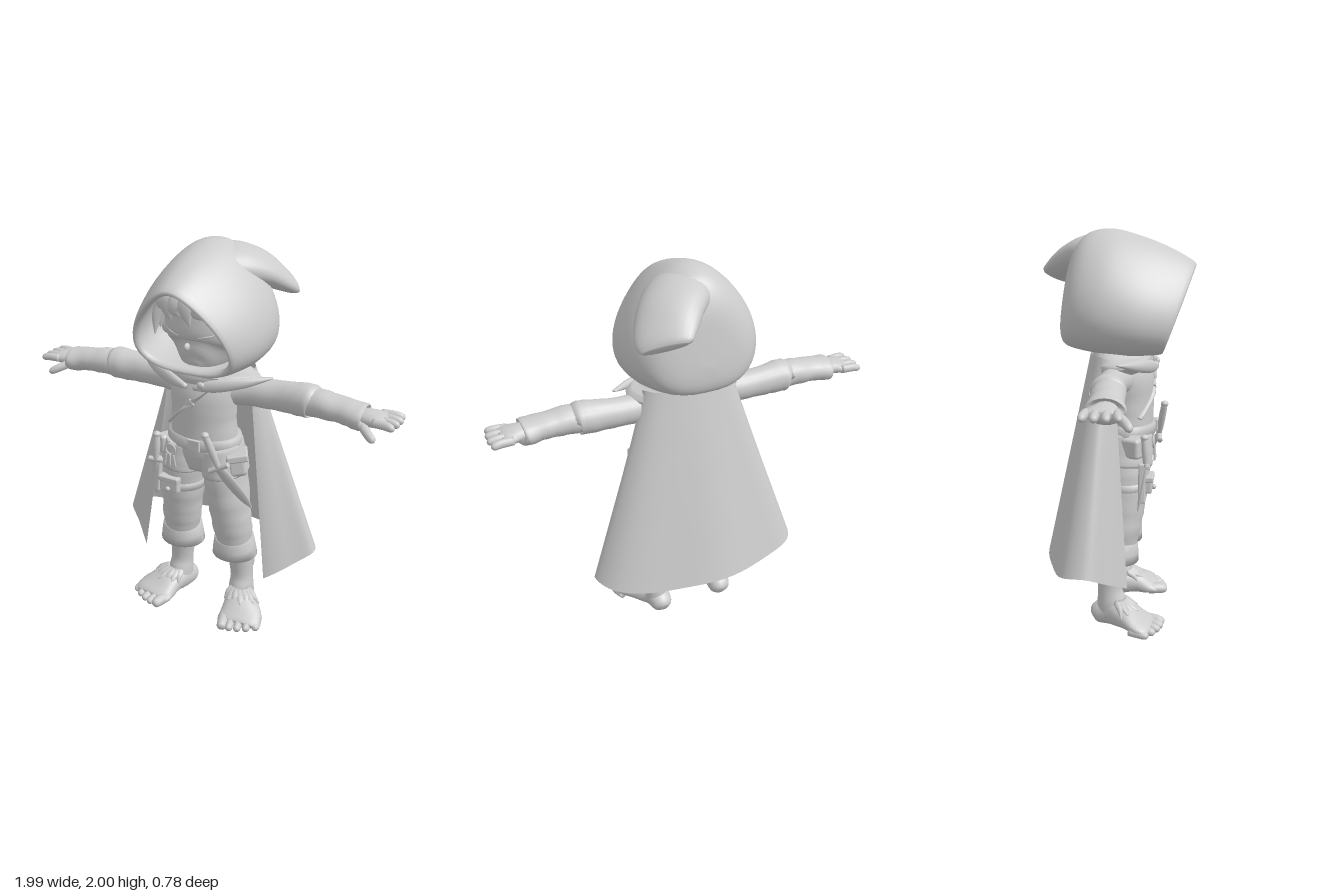
import * as THREE from 'three';
import { RoundedBoxGeometry } from 'three/addons/geometries/RoundedBoxGeometry.js';

const clay = new THREE.MeshStandardMaterial({ color: 0xcccccc, side: THREE.DoubleSide });
clay.name = 'light grey clay';
const V = (x, y, z) => new THREE.Vector3(x, y, z);
const X = V(1, 0, 0), Y = V(0, 1, 0);

// Smooth rows of numbers: every column follows its own spline
function resample(keys, sub) {
  const n = (keys.length - 1) * sub;
  const cols = keys[0].map((_, c) => new THREE.SplineCurve(keys.map((k, i) => new THREE.Vector2(i, k[c]))));
  return Array.from({ length: n + 1 }, (_, i) => cols.map(c => c.getPoint(i / n).y));
}

// Skin over rings of points, optionally closed around and capped
function skin(rings, closed = true, caps = true) {
  const n = rings[0].length, pos = [], idx = [];
  rings.forEach(r => r.forEach(p => pos.push(p.x, p.y, p.z)));
  for (let i = 0; i < rings.length - 1; i++) {
    for (let j = 0; j < (closed ? n : n - 1); j++) {
      const k = (j + 1) % n, a = i * n + j, b = i * n + k;
      idx.push(a, b, b + n, a, b + n, a + n);
    }
  }
  if (caps) {
    for (const end of [0, rings.length - 1]) {
      const c = rings[end].reduce((s, p) => s.add(p), V(0, 0, 0)).divideScalar(n), m = pos.length / 3;
      pos.push(c.x, c.y, c.z);
      for (let j = 0; j < n; j++) {
        const a = end * n + j, b = end * n + (j + 1) % n;
        if (end) idx.push(a, b, m); else idx.push(b, a, m);
      }
    }
  }
  const g = new THREE.BufferGeometry();
  g.setAttribute('position', new THREE.Float32BufferAttribute(pos, 3));
  g.setIndex(idx);
  g.computeVertexNormals();
  return g;
}

// Elliptical sweep; keys are [x, y, z, radius along ref, radius across ref]
function sweep(keys, ref = X, { sub = 4, n = 20, wrinkle = 0 } = {}) {
  const rows = resample(keys, sub);
  const at = i => V(...rows[Math.min(Math.max(i, 0), rows.length - 1)].slice(0, 3));
  return skin(rows.map((r, i) => {
    const T = at(i + 1).sub(at(i - 1)).normalize();
    const u = ref.clone().addScaledVector(T, -ref.dot(T)).normalize();
    const v = T.clone().cross(u);
    return Array.from({ length: n }, (_, j) => {
      const t = j / n * Math.PI * 2;
      const w = 1 + wrinkle * Math.sin(i * 1.7 + 2 * Math.sin(t + i * 0.4));
      const p = at(i).addScaledVector(u, Math.cos(t) * Math.max(r[3], 0.002) * w)
        .addScaledVector(v, Math.sin(t) * Math.max(r[4], 0.002) * w);
      p.y = Math.max(p.y, 0.003);
      return p;
    });
  }));
}

export function createModel() {
  const model = new THREE.Group();
  const add = (name, geo) => {
    const m = new THREE.Mesh(geo, clay);
    m.name = name;
    model.add(m);
    return m;
  };
  const blob = (name, p, r, seg = 16) =>
    add(name, new THREE.SphereGeometry(1, seg, 12).scale(...r).translate(...p));
  const box = (name, p, s, rot = [0, 0, 0]) => {
    const m = add(name, new RoundedBoxGeometry(...s, 2, Math.min(...s) * 0.25));
    m.position.set(...p);
    m.rotation.set(...rot);
  };

  // Hood: rings run from the deep lining to the rim, then over the outside to the back
  // [top y, bottom y, half width, top z, bottom z, taper towards the top]
  const hoodRing = ([yT, yB, w, zT, zB, taper]) => Array.from({ length: 48 }, (_, j) => {
    const t = j / 48 * Math.PI * 2, s = -Math.sin(t), c = Math.cos(t);
    const x = w * Math.sign(c) * Math.pow(Math.abs(c), s > 0 ? 0.95 : 0.75) * (1 - taper * s);
    return V(x, (yT + yB) / 2 + s * (yT - yB) / 2, (zT + zB) / 2 + s * (zT - zB) / 2);
  });
  const lining = [[1.87, 1.46, 0.25, -0.1, -0.12, 0.35], [1.89, 1.43, 0.268, 0.08, 0.04, 0.35],
    [1.85, 1.42, 0.245, 0.25, 0.14, 0.4], [1.815, 1.425, 0.22, 0.36, 0.215, 0.42]];
  const outside = [[1.84, 1.4, 0.24, 0.39, 0.235, 0.42], [1.91, 1.392, 0.278, 0.27, 0.165, 0.4],
    [1.965, 1.39, 0.308, 0.13, 0.06, 0.36], [2.0, 1.4, 0.313, -0.01, -0.06, 0.33],
    [1.985, 1.412, 0.289, -0.12, -0.145, 0.31], [1.93, 1.428, 0.247, -0.185, -0.215, 0.3],
    [1.84, 1.45, 0.19, -0.225, -0.252, 0.28], [1.72, 1.5, 0.11, -0.247, -0.268, 0.25],
    [1.61, 1.58, 0.015, -0.262, -0.267, 0]];
  add('hood', skin(resample([...lining, ...outside], 4).map(hoodRing)));
  add('hoodTip', sweep([[0.02, 1.865, 0.01, 0.14, 0.1], [0.085, 1.875, -0.09, 0.16, 0.1],
    [0.16, 1.848, -0.185, 0.155, 0.083], [0.215, 1.798, -0.265, 0.147, 0.06],
    [0.238, 1.765, -0.318, 0.13, 0.04], [0.245, 1.752, -0.338, 0.105, 0.02]], V(0.75, -0.14, 0.65), { n: 28 }));

  // Head and face
  add('head', sweep([[0, 1.415, 0.16, 0.03, 0.025], [0, 1.43, 0.13, 0.092, 0.085], [0, 1.48, 0.07, 0.158, 0.155],
    [0, 1.55, 0.045, 0.196, 0.188], [0, 1.64, 0.035, 0.208, 0.2], [0, 1.73, 0.02, 0.2, 0.2],
    [0, 1.82, 0, 0.15, 0.14], [0, 1.86, 0, 0.02, 0.02]], X, { n: 32 }));
  blob('nose', [0, 1.535, 0.228], [0.013, 0.02, 0.02]);
  blob('hairCap', [0, 1.71, 0.01], [0.218, 0.14, 0.205], 28);
  for (const s of [-1, 1]) {
    blob('ear', [s * 0.21, 1.575, 0.06], [0.025, 0.05, 0.035]);
    add('eyelid', sweep([[s * 0.055, 1.583, 0.221, 0.003, 0.003], [s * 0.1, 1.593, 0.206, 0.005, 0.005],
      [s * 0.15, 1.605, 0.17, 0.003, 0.003]], Y, { n: 8 }));
    for (let i = 0; i < 3; i++) {
      const z = 0.14 - i * 0.05;
      add('sideLock', sweep([[s * 0.18, 1.73, z, 0.03, 0.04], [s * 0.207, 1.64, z + 0.015, 0.022, 0.035],
        [s * 0.213, 1.55 + i * 0.02, z + 0.03, 0.002, 0.002]], X, { n: 10 }));
    }
  }
  // Fringe of pointed locks
  for (let i = -3; i <= 3; i++) {
    const a = i * 0.27, dx = Math.sin(a), dz = Math.cos(a), low = 1.65 + (i % 2 ? 0.03 : -0.01);
    add('fringeLock', sweep([[dx * 0.13, 1.81, dz * 0.12, 0.03, 0.02], [dx * 0.2, 1.765, dz * 0.2 + 0.01, 0.045, 0.028],
      [dx * 0.225, 1.71, dz * 0.215 + 0.022, 0.04, 0.022],
      [dx * 0.23 + 0.025, low, dz * 0.215 + 0.025, 0.002, 0.002]], X, { n: 10 }));
  }

  // Neck, mantle and torso
  add('neck', sweep([[0, 1.33, 0.04, 0.09, 0.09], [0, 1.46, 0.05, 0.08, 0.08]]));
  add('mantle', sweep([[0, 1.295, 0.05, 0.16, 0.12], [0, 1.315, 0.045, 0.23, 0.15], [0, 1.345, 0.035, 0.29, 0.155],
    [0, 1.375, 0.03, 0.28, 0.145], [0, 1.4, 0.03, 0.2, 0.135], [0, 1.43, 0.04, 0.13, 0.11]], X, { n: 36, wrinkle: 0.015 }));
  for (const s of [-1, 1]) {
    add('collarFold', sweep([[s * 0.36, 1.385, 0.04, 0.004, 0.01], [s * 0.25, 1.365, 0.12, 0.026, 0.02],
      [s * 0.12, 1.345, 0.185, 0.032, 0.018], [s * 0.02, 1.325, 0.205, 0.012, 0.012]], Y, { n: 12 }));
  }
  blob('collarClasp', [0.06, 1.345, 0.207], [0.022, 0.018, 0.012]);
  add('torso', sweep([[0, 0.86, 0.05, 0.15, 0.11], [0, 0.95, 0.055, 0.185, 0.13], [0, 1.05, 0.065, 0.178, 0.128],
    [0, 1.15, 0.065, 0.172, 0.128], [0, 1.25, 0.065, 0.175, 0.13], [0, 1.33, 0.05, 0.17, 0.12],
    [0, 1.37, 0.04, 0.12, 0.1]], X, { n: 28, wrinkle: 0.008 }));
  add('belt', sweep([[0, 0.99, 0.06, 0.18, 0.12], [0, 0.994, 0.06, 0.203, 0.145], [0, 1.046, 0.062, 0.198, 0.145],
    [0, 1.05, 0.062, 0.17, 0.12]], X, { sub: 1, n: 32 }));
  box('beltBuckle', [0.02, 1.02, 0.207], [0.065, 0.06, 0.015]);
  add('chestStrap', sweep([[0.11, 1.34, 0.17, 0.016, 0.007], [0.03, 1.265, 0.195, 0.016, 0.007],
    [-0.06, 1.19, 0.186, 0.016, 0.007], [-0.16, 1.09, 0.13, 0.016, 0.007]], V(1, 1, 0), { n: 10 }));
  box('strapBuckle', [-0.005, 1.235, 0.196], [0.038, 0.04, 0.016], [0, 0, 0.75]);

  // Belt gear
  box('rightPouch', [-0.2, 0.95, 0.1], [0.07, 0.1, 0.1], [0, -0.5, 0]);
  box('leftPouch', [0.2, 0.92, 0.09], [0.1, 0.12, 0.11], [0, 0.5, 0.15]);
  box('pouchFlap', [0.203, 0.965, 0.095], [0.11, 0.04, 0.12], [0, 0.5, 0.15]);
  const ring = add('keyRing', new THREE.TorusGeometry(0.028, 0.005, 8, 20));
  ring.position.set(-0.12, 0.965, 0.2);
  for (const i of [-1, 0, 1]) {
    add('key', sweep([[-0.12 + i * 0.02, 0.94, 0.207, 0.005, 0.005], [-0.12 + i * 0.032, 0.875, 0.208, 0.007, 0.005]], X, { n: 8 }));
  }
  // A dagger from pommel through guard to tip
  const dagger = (name, pommel, guard, tip, w) => {
    const P = V(...pommel), G = V(...guard), Q = V(...tip), d = Q.clone().sub(G);
    const side = V(1, 0.35, -0.2), k = (p, a, b) => [p.x, p.y, p.z, a, b];
    const on = f => G.clone().addScaledVector(d, f);
    add(name + 'Grip', sweep([k(P, 0.016, 0.016), k(P.clone().lerp(G, 0.5), 0.02, 0.018), k(G, 0.014, 0.014)], X, { n: 12 }));
    blob(name + 'Pommel', pommel, [0.02, 0.016, 0.02]);
    side.addScaledVector(d, -side.dot(d) / d.lengthSq()).normalize();
    add(name + 'Guard', sweep([-1, -0.5, 0.5, 1].map(f =>
      k(G.clone().addScaledVector(side, f * w * 1.8), 0.014, 0.014)), Y, { n: 10 }));
    add(name + 'Blade', sweep([k(G, w * 0.8, 0.01), k(on(0.35), w, 0.011), k(on(0.75), w * 0.8, 0.008), k(Q, 0.002, 0.002)], side, { n: 8 }));
  };
  dagger('leftDagger', [0.105, 1.11, 0.245], [0.165, 0.935, 0.215], [0.285, 0.675, 0.08], 0.032);
  dagger('rightDagger', [-0.225, 1.01, 0.16], [-0.228, 0.87, 0.17], [-0.255, 0.64, 0.13], 0.022);
  box('thighSheath', [-0.232, 0.78, 0.15], [0.04, 0.2, 0.036], [0, 0, -0.08]);
  box('thighPouch', [-0.14, 0.755, 0.175], [0.11, 0.085, 0.045]);
  box('thighPouchFlap', [-0.14, 0.785, 0.18], [0.118, 0.03, 0.05]);
  blob('pouchButton', [-0.14, 0.735, 0.205], [0.013, 0.013, 0.012]);
  add('thighStrap', sweep([[-0.13, 0.72, 0.05, 0.1, 0.1], [-0.13, 0.722, 0.05, 0.118, 0.128],
    [-0.127, 0.758, 0.05, 0.118, 0.13], [-0.127, 0.76, 0.05, 0.1, 0.1]], X, { sub: 1, n: 24 }));

  for (const s of [-1, 1]) {
    // Legs, with a split tunic skirt over the hips
    add('tunicSkirt', sweep([[s * 0.12, 0.842, 0.055, 0.118, 0.14],
      [s * 0.113, 0.9, 0.056, 0.113, 0.14], [s * 0.1, 1.0, 0.058, 0.1, 0.132]], X, { n: 24, wrinkle: 0.012 }));
    add('trouserLeg', sweep([[s * 0.1, 0.93, 0.05, 0.1, 0.12], [s * 0.115, 0.84, 0.05, 0.11, 0.126],
      [s * 0.13, 0.72, 0.05, 0.11, 0.12], [s * 0.145, 0.6, 0.045, 0.106, 0.108],
      [s * 0.155, 0.5, 0.035, 0.103, 0.1], [s * 0.16, 0.42, 0.025, 0.09, 0.09]], X, { n: 24, wrinkle: 0.022 }));
    add('trouserCuff', sweep([[s * 0.16, 0.352, 0.02, 0.085, 0.085], [s * 0.16, 0.35, 0.02, 0.122, 0.11],
      [s * 0.159, 0.4, 0.022, 0.115, 0.107], [s * 0.158, 0.45, 0.028, 0.106, 0.102],
      [s * 0.157, 0.46, 0.03, 0.09, 0.09]], X, { sub: 1, n: 24, wrinkle: 0.012 }));
    add('shin', sweep([[s * 0.17, 0.42, 0.005, 0.078, 0.075], [s * 0.18, 0.31, -0.012, 0.068, 0.07],
      [s * 0.187, 0.2, -0.014, 0.06, 0.062], [s * 0.19, 0.13, -0.005, 0.066, 0.075], [s * 0.19, 0.06, 0, 0.065, 0.08]]));
    add('foot', sweep([[s * 0.172, 0.045, -0.105, 0.02, 0.025], [s * 0.175, 0.055, -0.08, 0.055, 0.054],
      [s * 0.19, 0.075, 0, 0.07, 0.075], [s * 0.225, 0.072, 0.07, 0.09, 0.068], [s * 0.258, 0.048, 0.14, 0.115, 0.046],
      [s * 0.272, 0.034, 0.19, 0.112, 0.031], [s * 0.275, 0.03, 0.205, 0.085, 0.02]]));
    for (let i = 0; i < 5; i++) {
      const r = i ? 0.022 : 0.029, x = 0.2 + i * 0.041, z = 0.24 - i * i * 0.0045;
      add('toe', sweep([[s * (x - 0.02), 0.035, z - 0.07, r, r], [s * x, 0.031, z - 0.01, r, r],
        [s * (x + 0.006), 0.026, z + 0.02, r * 0.75, r * 0.75], [s * (x + 0.008), 0.024, z + 0.028, 0.003, 0.003]], X, { n: 10 }));
    }
    // Fur on the feet and ankles
    for (let i = 0; i < 7; i++) {
      const a = -0.9 + i * 0.4, dx = Math.sin(a), dz = Math.cos(a);
      add('footFur', sweep([[s * (0.2 + dx * 0.04), 0.135, 0.03 + dz * 0.03, 0.026, 0.02],
        [s * (0.215 + dx * 0.07), 0.118, 0.045 + dz * 0.058, 0.024, 0.016],
        [s * (0.225 + dx * 0.105), 0.09 + (i % 2) * 0.018, 0.05 + dz * 0.092, 0.002, 0.002]], X, { n: 8 }));
    }
    add('ankleFur', sweep([[s * 0.22, 0.35, -0.03, 0.03, 0.03], [s * 0.236, 0.29, -0.03, 0.016, 0.025],
      [s * 0.25, 0.265, -0.03, 0.002, 0.002]], X, { n: 8 }));

    // Arms
    add('sleeve', sweep([[s * 0.12, 1.28, 0.03, 0.075, 0.08], [s * 0.25, 1.285, 0.012, 0.074, 0.07],
      [s * 0.4, 1.288, 0.008, 0.075, 0.07], [s * 0.5, 1.294, 0.012, 0.082, 0.08], [s * 0.555, 1.296, 0.014, 0.08, 0.085],
      [s * 0.56, 1.293, 0.014, 0.06, 0.07]], Y, { wrinkle: 0.018 }));
    add('forearmWrap', sweep([[s * 0.53, 1.295, 0.015, 0.068, 0.078], [s * 0.62, 1.295, 0.022, 0.068, 0.078],
      [s * 0.72, 1.288, 0.026, 0.06, 0.078], [s * 0.8, 1.278, 0.03, 0.062, 0.088],
      [s * 0.825, 1.274, 0.03, 0.056, 0.084], [s * 0.83, 1.276, 0.03, 0.035, 0.05]], Y, { wrinkle: 0.025 }));
    add('palm', sweep([[s * 0.79, 1.28, 0.03, 0.035, 0.05], [s * 0.85, 1.28, 0.03, 0.038, 0.065],
      [s * 0.9, 1.28, 0.025, 0.03, 0.08], [s * 0.93, 1.278, 0.022, 0.018, 0.07]], Y));
    for (let i = 0; i < 4; i++) {
      const z = -0.04 + i * 0.042, e = 0.998 - Math.abs(i - 1.4) * 0.008;
      add('finger', sweep([[s * 0.88, 1.282, z, 0.021, 0.021], [s * 0.94, 1.283, z * 1.1 - 0.002, 0.021, 0.02],
        [s * (e - 0.012), 1.278, z * 1.18 - 0.003, 0.017, 0.017], [s * e, 1.277, z * 1.18 - 0.003, 0.004, 0.004]], Y, { n: 10 }));
    }
    add('thumb', sweep([[s * 0.82, 1.262, 0.07, 0.022, 0.024], [s * 0.865, 1.24, 0.115, 0.022, 0.022],
      [s * 0.9, 1.222, 0.137, 0.018, 0.018], [s * 0.912, 1.218, 0.143, 0.004, 0.004]], Y, { n: 10 }));
  }

  // Cape: straight fall from the shoulder line to the hem, [x, y, z]
  const half = [[0.36, 0.275, 0.08], [0.47, 0.34, 0.0], [0.562, 0.4, -0.1], [0.5, 0.385, -0.22], [0.27, 0.36, -0.31]];
  const top = [[0.225, 1.375, 0.01], [0.235, 1.39, -0.015], [0.225, 1.4, -0.05], [0.18, 1.4, -0.09], [0.09, 1.405, -0.115]];
  const both = (h, mid) => resample([...h, mid, ...h.map(([x, y, z]) => [-x, y, z]).reverse()], 6);
  const upper = both(top, [0, 1.405, -0.12]), lower = both(half, [0, 0.36, -0.338]);
  add('cape', skin(Array.from({ length: 21 }, (_, i) => upper.map((p, j) => {
    const q = V(...p).lerp(V(...lower[j]), 1 - i / 20);
    q.z += 0.008 * Math.sin(j * 0.55) * (1 - i / 20);
    return q;
  })), false, false));

  return model;
}
